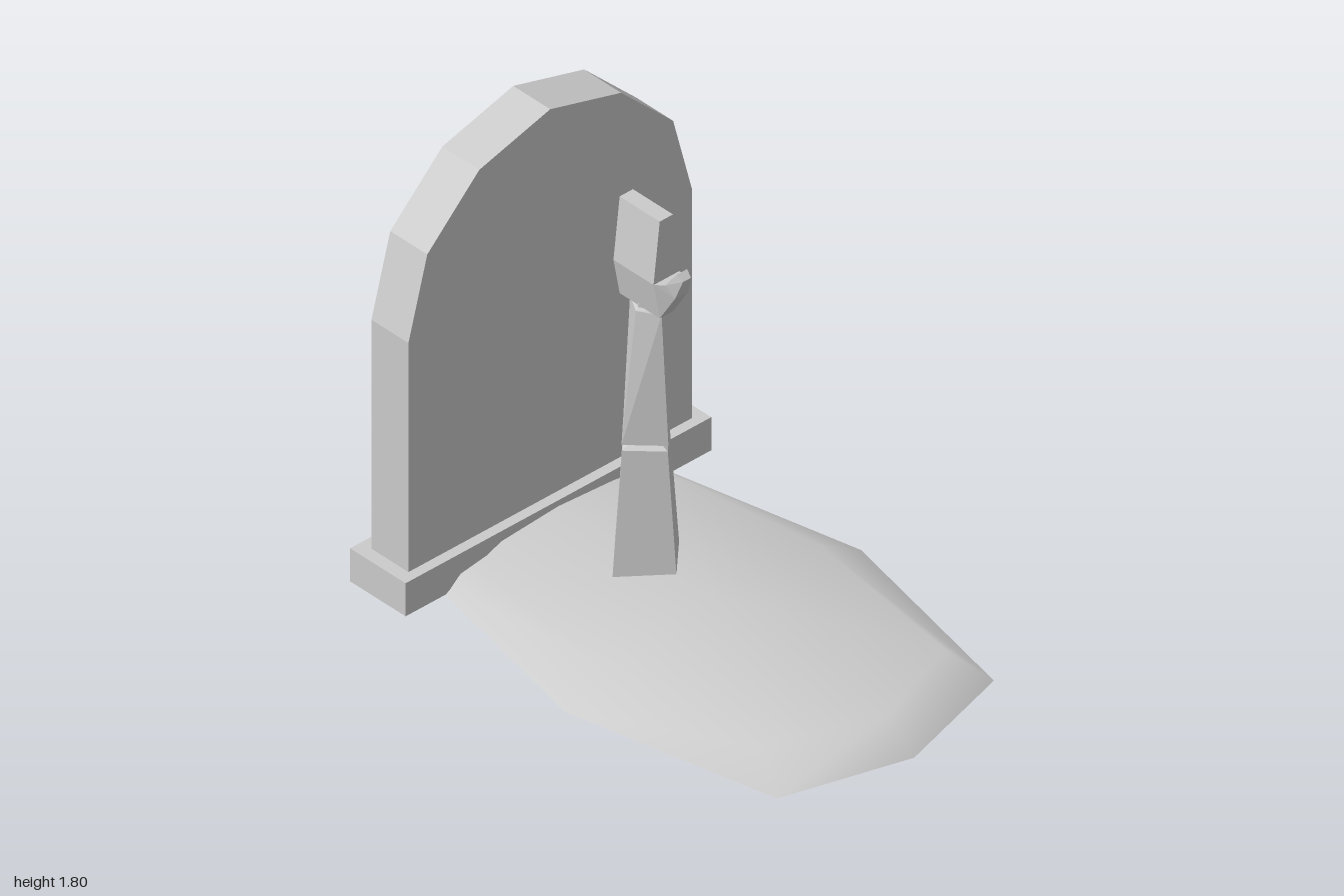
import * as THREE from 'three';

// Skin a stack of equal-length rings, each counter-clockwise seen from the end it heads towards
function loft(rings, { flat = true, caps = true } = {}) {
  const n = rings[0].length;
  const index = [];
  for (let r = 0; r < rings.length - 1; r++) {
    for (let i = 0; i < n; i++) {
      const j = (i + 1) % n;
      const a = r * n + i, b = r * n + j, c = a + n, d = b + n;
      index.push(a, b, d, a, d, c);
    }
  }
  if (caps) {
    const last = (rings.length - 1) * n;
    for (let i = 1; i < n - 1; i++) {
      index.push(0, i + 1, i, last, last + i, last + i + 1);
    }
  }
  let geo = new THREE.BufferGeometry();
  geo.setAttribute('position', new THREE.Float32BufferAttribute(rings.flat(2), 3));
  geo.setIndex(index);
  if (flat) geo = geo.toNonIndexed();
  geo.computeVertexNormals();
  return geo;
}

export function createModel() {
  const model = new THREE.Group();
  model.name = 'graveWithArm';

  const stone = new THREE.MeshStandardMaterial({ color: 0xcccccc, side: THREE.DoubleSide });
  stone.name = 'paleGreyStone';

  const add = (name, geo, parent = model) => {
    const mesh = new THREE.Mesh(geo, stone);
    mesh.name = name;
    parent.add(mesh);
    return mesh;
  };

  // Plinth under the headstone
  add('plinth', new THREE.BoxGeometry(1.38, 0.135, 0.27)).position.set(0, 0.158, -0.865);

  // Headstone slab with a faceted arch
  const half = [[0.64, 0.22], [0.64, 1.16], [0.555, 1.48], [0.32, 1.71]];
  const outline = [...half, [0, 1.8], ...half.map(([x, y]) => [-x, y]).reverse()];
  const slab = new THREE.ExtrudeGeometry(
    new THREE.Shape(outline.map(([x, y]) => new THREE.Vector2(x, y))),
    { depth: 0.18, bevelEnabled: false });
  add('headstone', slab.translate(0, 0, -0.95));

  // Earth mound: smooth eight-sided dome, open underneath
  const octagon = (side, corner, tip) => {
    const [sx, sy] = side, [cx, cy, cz] = corner, [ty, tz] = tip, z0 = 0.02;
    return [
      [sx, sy, z0], [cx, cy, z0 - cz], [0, ty, z0 - tz], [-cx, cy, z0 - cz],
      [-sx, sy, z0], [-cx, cy, z0 + cz], [0, ty, z0 + tz], [cx, cy, z0 + cz],
    ];
  };
  const rim = octagon([0.67, 0.09], [0.49, 0.09, 0.84], [0.09, 0.98]);
  const shoulder = octagon([0.49, 0.195], [0.41, 0.177, 0.69], [0.197, 0.85]);
  const mound = loft([rim, shoulder], { flat: false, caps: false });
  // Close the crown with a fan to one peak, keeping shared normals
  const points = [...rim, ...shoulder, [0, 0.235, 0.02]].flat();
  const faces = Array.from(mound.index.array);
  for (let i = 0; i < 8; i++) faces.push(8 + i, 8 + (i + 1) % 8, 16);
  mound.setAttribute('position', new THREE.Float32BufferAttribute(points, 3));
  mound.setIndex(faces);
  mound.deleteAttribute('normal');
  mound.computeVertexNormals();
  add('mound', mound);

  // Arm rising from the ground, centred on its own axis
  const arm = new THREE.Group();
  arm.name = 'arm';
  arm.position.z = -0.305;
  model.add(arm);

  // Diamond-section forearm: buried point, lower half, groove, upper half, wrist
  const diamond = ([y, rx, rz]) => [[rx, y, 0], [0, y, -rz], [-rx, y, 0], [0, y, rz]];
  add('forearm', loft([
    [0, 0.0005, 0.0005], [0.1, 0.16, 0.16], [0.705, 0.107, 0.107], [0.717, 0.082, 0.082],
    [0.73, 0.11, 0.11], [1.245, 0.045, 0.077], [1.255, 0.034, 0.062], [1.27, 0.034, 0.062],
  ].map(diamond)), arm);

  // Flat palm, widest at the thumb root
  const palmRing = ([y, w]) => [[w, y, 0.1], [w, y, -0.095], [-w, y, -0.095], [-w, y, 0.1]];
  add('palm', loft([[1.26, 0.03], [1.41, 0.058], [1.655, 0.03]].map(palmRing)), arm);

  // Thumb curling forward and up: underside and upper side as [half width, y, z]
  const thumbRing = ([[bw, by, bz], [tw, ty, tz]]) =>
    [[-bw, by, bz], [bw, by, bz], [tw, ty, tz], [-tw, ty, tz]];
  add('thumb', loft([
    [[0.03, 1.26, 0.1], [0.058, 1.41, 0.1]],
    [[0.03, 1.38, 0.175], [0.046, 1.425, 0.143]],
    [[0.018, 1.455, 0.2], [0.024, 1.475, 0.175]],
  ].map(thumbRing)), arm);

  return model;
}
